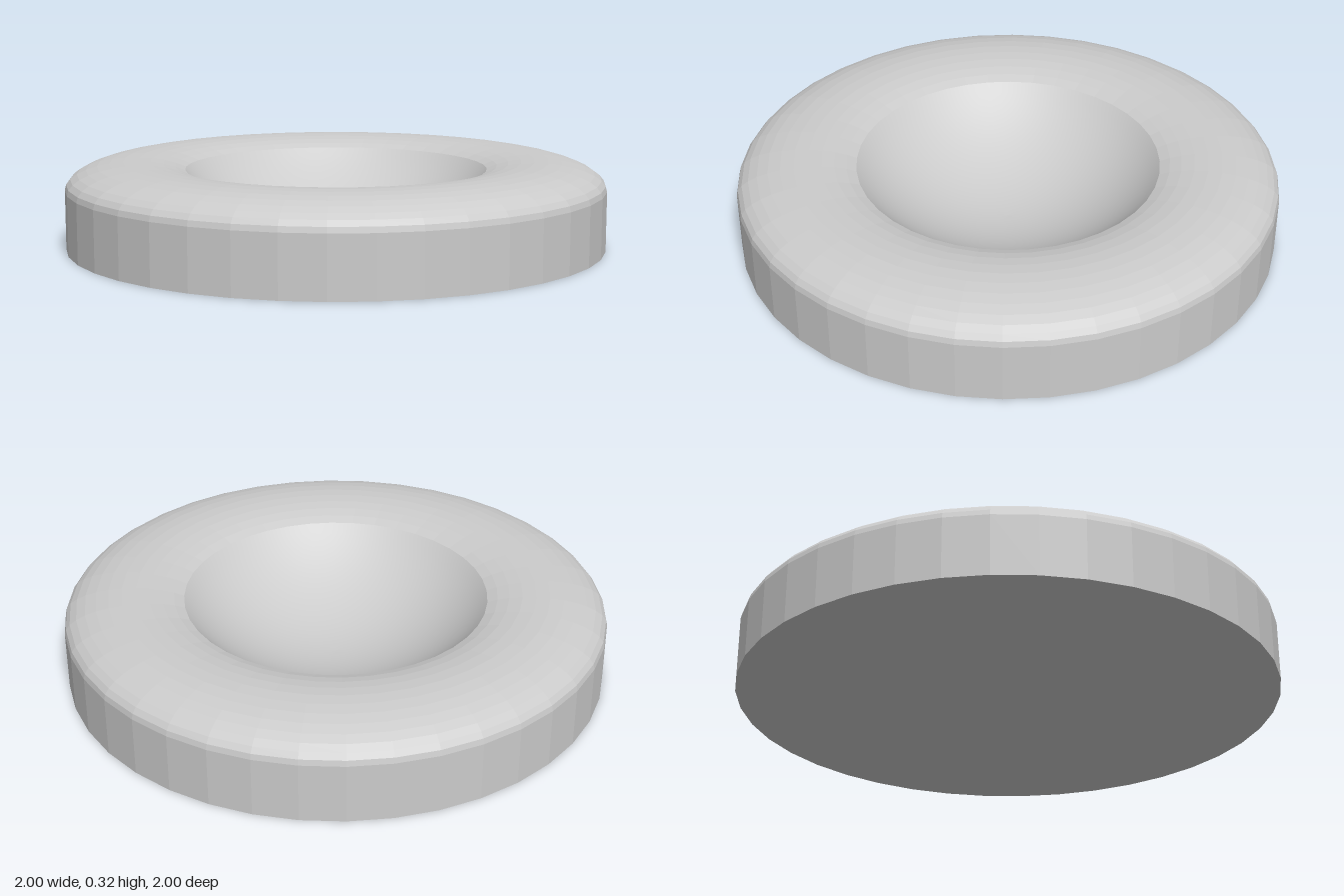
import * as THREE from 'three';

const SEGMENTS = 40;
const RIM = { r: 0.56, y: 0.28 };    // where the bowl meets the rounded ring
const BASE_HEIGHT = 0.22;

// Revolve a profile of [radius, height] points around the y axis
function revolve(name, points, segments, flatShading) {
  const profile = points.map(([r, y]) => new THREE.Vector2(r, y));
  const material = new THREE.MeshStandardMaterial({ color: 0xcccccc, flatShading });
  const mesh = new THREE.Mesh(new THREE.LatheGeometry(profile, segments), material);
  mesh.name = name;
  return mesh;
}

export function createModel() {
  const group = new THREE.Group();
  group.name = 'roundDish';

  // Flat underside and straight outer wall
  group.add(revolve('base', [[0, 0], [1, 0], [1, BASE_HEIGHT]], SEGMENTS, true));

  // Squashed round ring on top, running from the wall over to the bowl rim
  const ring = [];
  const endAngle = Math.acos((RIM.r - 0.75) / 0.25);
  for (let i = 0; i <= 12; i++) {
    const a = (endAngle * i) / 12;
    ring.push([0.75 + 0.25 * Math.cos(a), BASE_HEIGHT + 0.1 * Math.sin(a)]);
  }
  group.add(revolve('roundedRing', ring, SEGMENTS, true));

  // Spherical hollow in the middle
  const bowl = [];
  const radius = 0.75;
  const rimAngle = Math.asin(RIM.r / radius);
  const centreY = ring[12][1] + radius * Math.cos(rimAngle);
  for (let i = 0; i <= 16; i++) {
    const a = rimAngle * (1 - i / 16);
    bowl.push([radius * Math.sin(a), centreY - radius * Math.cos(a)]);
  }
  group.add(revolve('bowl', bowl, SEGMENTS * 2, false));

  return group;
}
